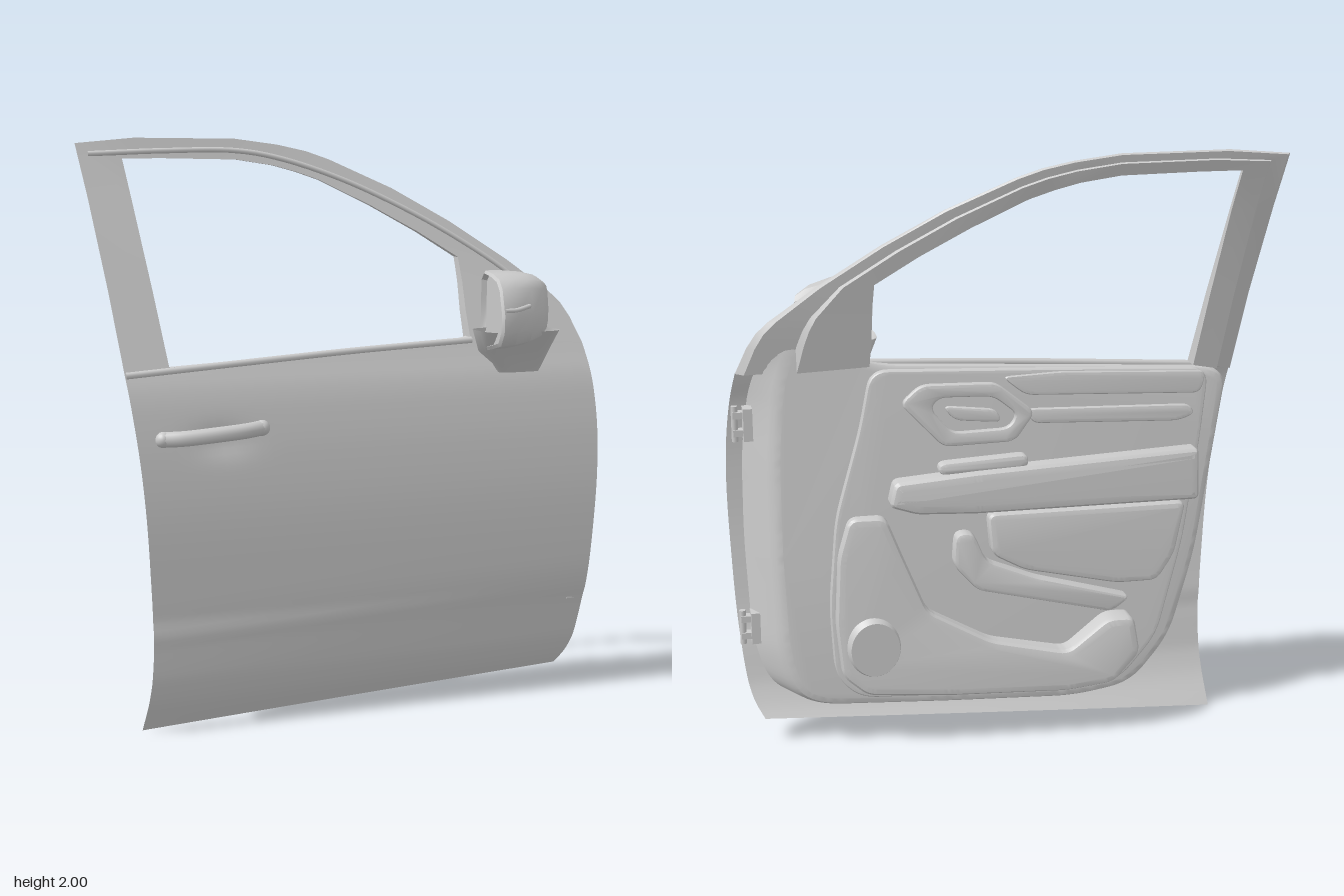
import * as THREE from 'three';
import { toCreasedNormals } from 'three/addons/utils/BufferGeometryUtils.js';

const material = new THREE.MeshStandardMaterial({ color: 0xcccccc, side: THREE.DoubleSide });
const lerp = THREE.MathUtils.lerp;

// Smooth interpolation through [position, value] pairs
function smooth(table, p) {
  const n = table.length;
  if (p <= table[0][0]) return table[0][1];
  if (p >= table[n - 1][0]) return table[n - 1][1];
  const i = table.findIndex((q) => q[0] > p) - 1;
  const slope = (k) => {
    const a = table[Math.max(k - 1, 0)], b = table[Math.min(k + 1, n - 1)];
    return (b[1] - a[1]) / (b[0] - a[0]);
  };
  const [x0, y0] = table[i], [x1, y1] = table[i + 1], h = x1 - x0, t = (p - x0) / h;
  return y0 * (1 + 2 * t) * (1 - t) ** 2 + y1 * t * t * (3 - 2 * t)
    + h * t * (1 - t) * (slope(i) * (1 - t) - slope(i + 1) * t);
}

// Outer surface depth: curved vertically with a rising lower crease, swept back towards the rear, dented behind the handle
const PROFILE = [[0, -0.19], [0.1, -0.115], [0.18, -0.073], [0.22, -0.06], [0.33, -0.031], [0.37, -0.019],
  [0.5, -0.002], [0.75, 0.018], [0.95, 0.018], [1.1, 0.006], [1.18, -0.008], [1.25, -0.03], [1.57, -0.125], [2, -0.262]];
const LEFT = [[0, -0.75], [0.3, -0.735], [0.6, -0.75], [0.9, -0.775], [1.22, -0.813], [1.4, -0.83]];
const RIGHT = [[0.085, 0.81], [0.14, 0.84], [0.22, 0.86], [0.4, 0.878], [0.6, 0.888], [0.9, 0.895],
  [1.1, 0.885], [1.28, 0.857], [1.37, 0.82]];
const skin = (x, y) => smooth(PROFILE, y - 0.03 * x * Math.exp(-(((y - 0.35) / 0.13) ** 2)))
  + 0.047 * Math.min(1, y / 0.4) * (x - 0.89)
  - 0.013 * Math.exp(-(((x + 0.5) / 0.09) ** 2) - ((y - 1.0) / 0.05) ** 2);
// Sloped planes of the inner shell and the trim
const shellZ = (x, y) => -0.12 + 0.03 * (x - 0.8) + 0.08 * (y - 1.2);
const trimZ = (d) => (x, y) => shellZ(x, y) - 0.025 - d;
const lowerZ = (x, y) => trimZ(0.06)(x, y) + 0.05 * x;

function mesh(name, geometry) {
  const m = new THREE.Mesh(geometry, material);
  m.name = name;
  return m;
}

// Surface through rows of [x, y, z] points
function loft(name, rows, crease = 0.6) {
  const w = rows[0].length, index = [];
  for (let i = 0; i < rows.length - 1; i++)
    for (let j = 0; j < w - 1; j++) {
      const a = i * w + j, b = a + w;
      index.push(a, a + 1, b, b, a + 1, b + 1);
    }
  const g = new THREE.BufferGeometry();
  g.setAttribute('position', new THREE.Float32BufferAttribute(rows.flat(2), 3));
  g.setIndex(index);
  return mesh(name, toCreasedNormals(g, crease));
}

// Polygon with rounded corners
function rounded(path, pts, radius) {
  const v = pts.map((p) => new THREE.Vector2(...p)), n = v.length;
  const towards = (a, b) => a.clone().lerp(b, Math.min(0.45, radius / a.distanceTo(b)));
  v.forEach((p, i) => {
    const a = towards(p, v[(i + n - 1) % n]), b = towards(p, v[(i + 1) % n]);
    if (i === 0) path.moveTo(a.x, a.y);
    else path.lineTo(a.x, a.y);
    path.quadraticCurveTo(p.x, p.y, b.x, b.y);
  });
  path.closePath();
  return path;
}

// Outline filled between a back and a front surface, bevelled at the back; flare widens its +x end towards the front
function pad(name, outline, back, front, { bevel = 0.012, hole = null, radius = 0.03, flare = 0 } = {}) {
  const shape = rounded(new THREE.Shape(), outline, radius);
  if (hole) shape.holes.push(rounded(new THREE.Path(), hole, radius));
  const g = new THREE.ExtrudeGeometry(shape, { curveSegments: 6, depth: 0.8, bevelEnabled: true, bevelSize: bevel,
    bevelOffset: -bevel, bevelThickness: 0.2, bevelSegments: 2 });
  const p = g.attributes.position;
  for (let i = 0; i < p.count; i++) {
    const y = p.getY(i), t = Math.min(1, p.getZ(i) + 0.2);
    const x = p.getX(i) + flare * t * Math.max(0, p.getX(i) - 0.4);
    p.setXYZ(i, x, y, lerp(back(x, y), front(x, y), t));
  }
  return mesh(name, toCreasedNormals(g, 0.5));
}

function tube(name, pts, radius) {
  const c = new THREE.CatmullRomCurve3(pts.map((p) => new THREE.Vector3(...p)));
  return mesh(name, new THREE.TubeGeometry(c, 60, radius, 8));
}
const onSkin = ([x, y]) => [x, y, skin(x, y) - 0.003];

function buildBody() {
  const rows = [];
  for (let i = 0; i <= 60; i++) {
    const row = [];
    for (let j = 0; j <= 40; j++) {
      const u = j / 40;
      const top = u < 0.74 ? lerp(1.225, 1.305, u / 0.74) : lerp(1.305, 1.28, (u - 0.74) / 0.26);
      const y = lerp(0.085 * u, top, i / 60);
      const x = lerp(smooth(LEFT, y), smooth(RIGHT, y), u);
      row.push([x, y, skin(x, y)]);
    }
    rows.push(row);
  }
  return loft('outerPanel', rows);
}

// Window frame: section between outer edge and opening, with a raised inner return
function buildFrame() {
  const pairs = [[-0.812, 1.22, -0.66, 1.25], [-0.84, 1.5, -0.69, 1.5], [-0.875, 1.8, -0.728, 1.8],
    [-0.9, 1.98, -0.745, 1.93], [-0.7, 1.998, -0.6, 1.93], [-0.35, 1.995, -0.35, 1.925], [-0.2, 1.975, -0.22, 1.905],
    [-0.1, 1.953, -0.14, 1.883], [-0.02, 1.925, -0.06, 1.855], [0.2, 1.825, 0.12, 1.765], [0.4, 1.71, 0.28, 1.675],
    [0.6, 1.575, 0.42, 1.585], [0.75, 1.46, 0.425, 1.5], [0.79, 1.42, 0.425, 1.45], [0.82, 1.37, 0.425, 1.4],
    [0.857, 1.28, 0.43, 1.3]];
  const section = [[0, 0, 0], [1, -0.008, 0], [1, 0, 1], [0.45, 0, 1], [0.4, 0, 0.6], [0.06, 0, 0.5], [0, -0.004, 0],
    [0, 0, 0]];
  return loft('windowFrame', pairs.map(([ox, oy, ix, iy]) => section.map(([t, d, back]) => {
    const x = lerp(ox, ix, t), y = lerp(oy, iy, t);
    const depth = lerp(0.07, 0.024, THREE.MathUtils.clamp((y - 1.22) / 0.6, 0, 1));
    return [x, y, skin(x, y) + d - back * depth];
  })), 0.5);
}

function buildMirror() {
  const g = new THREE.Group();
  g.name = 'sideMirror';
  const face = [[0, 1.525], [0.04, 1.55], [0.16, 1.545], [0.25, 1.533], [0.3, 1.505], [0.345, 1.42], [0.338, 1.36],
    [0.29, 1.315], [0.15, 1.29], [0.02, 1.27], [-0.012, 1.32], [-0.008, 1.45], [0, 1.525]];
  // Ring of the housing: scaled about an anchor, moved from the glass towards the nose
  const ring = (s, zs, ys, ax, inset = 0) => face.map(([z0, y0]) => {
    const z = ax + (z0 - ax) * zs, y = 1.43 + (y0 - 1.43) * ys;
    return [lerp(0.43 - 0.27 * z, 0.655 - 0.3 * z, s) + inset, y, z];
  });
  g.add(loft('mirrorHousing', [ring(0, 0, 0, 0.16, 0.02), ring(0, 0.88, 0.88, 0.16, 0.02), ring(0, 0.92, 0.92, 0.16),
    ring(0, 1, 1, 0.03, 0.008), ring(0.3, 0.94, 0.99, 0.03), ring(0.6, 0.8, 0.94, 0.03), ring(0.85, 0.62, 0.84, 0.03),
    ring(1, 0.42, 0.66, 0.03), ring(1, 0, 0, 0.06)], 0.7));
  const foot = [[0.59, 1.188, -0.02, 0.075, 0.025], [0.58, 1.22, -0.005, 0.09, 0.04],
    [0.54, 1.27, 0.04, 0.125, 0.055], [0.51, 1.35, 0.11, 0.14, 0.1]];
  g.add(loft('mirrorArm', foot.map(([cx, cy, cz, rx, rz]) => Array.from({ length: 25 }, (_, i) => {
    const a = -i / 24 * Math.PI * 2, c = Math.cos(a), s = Math.sin(a);
    return [cx + rx * Math.sign(c) * Math.sqrt(Math.abs(c)), cy, cz + rz * Math.sign(s) * Math.sqrt(Math.abs(s))];
  }))));
  g.add(tube('mirrorIndicator', [[0.35, 1.435, 0.333], [0.4, 1.435, 0.318], [0.465, 1.445, 0.288]], 0.008));
  return g;
}

function buildHinge(y) {
  const g = new THREE.Group();
  g.name = 'hinge';
  const plate = mesh('hingePlate', new THREE.BoxGeometry(0.03, 0.11, 0.05));
  plate.position.set(0.825, y, -0.06);
  g.add(plate);
  for (const dy of [-0.03, 0.03]) {
    const lug = mesh('hingeLug', new THREE.BoxGeometry(0.045, 0.022, 0.03));
    lug.position.set(0.85, y + dy, -0.055);
    g.add(lug);
  }
  const pin = mesh('hingePin', new THREE.CylinderGeometry(0.011, 0.011, 0.12, 12));
  pin.position.set(0.866, y, -0.055);
  g.add(pin);
  return g;
}

function buildTrim() {
  const g = new THREE.Group();
  g.name = 'innerTrim';
  const base = trimZ(-0.02);
  const add = (name, pts, d, options) => g.add(pad(name, pts, trimZ(d), base, options));
  g.add(pad('trimPanel', [[0.43, 1.29], [0.47, 1.1], [0.56, 0.8], [0.59, 0.5], [0.58, 0.26], [0.5, 0.18], [0.2, 0.165],
    [-0.2, 0.145], [-0.4, 0.17], [-0.53, 0.32], [-0.62, 0.65], [-0.68, 1.0], [-0.71, 1.24], [-0.2, 1.265]],
  trimZ(0), shellZ, { radius: 0.06 }));
  add('beltRail', [[0.0, 1.25], [-0.08, 1.185], [-0.68, 1.16], [-0.7, 1.235], [-0.2, 1.258]], 0.008);
  add('accentStrip', [[-0.08, 1.14], [-0.1, 1.09], [-0.6, 1.07], [-0.66, 1.09], [-0.64, 1.125]], 0.012);
  add('armrest', [[0.39, 0.85], [0.37, 0.93], [0.1, 0.95], [-0.66, 0.985], [-0.66, 0.81], [0.1, 0.81], [0.3, 0.82]],
    0.065, { bevel: 0.03, radius: 0.02 });
  // Speaker and map pocket surround
  g.add(pad('lowerPanel', [[0.56, 0.68], [0.52, 0.81], [0.4, 0.81], [0.35, 0.68], [0.27, 0.48], [0.06, 0.365],
    [-0.2, 0.31], [-0.34, 0.42], [-0.43, 0.42], [-0.45, 0.29], [-0.36, 0.19], [-0.2, 0.17], [0.2, 0.18], [0.48, 0.2],
    [0.56, 0.27], [0.575, 0.45]], lowerZ, base, { bevel: 0.025 }));
  add('pocketPanel', [[0.06, 0.8], [0.05, 0.66], [-0.06, 0.6], [-0.38, 0.53], [-0.52, 0.53], [-0.58, 0.62],
    [-0.62, 0.8]], 0.045, { bevel: 0.02 });
  add('pocketLip', [[0.17, 0.74], [0.18, 0.63], [0.1, 0.54], [-0.36, 0.43], [-0.43, 0.48], [-0.1, 0.57], [0.07, 0.64],
    [0.11, 0.74]], 0.045);
  add('releaseBezel', [[0.34, 1.18], [0.27, 1.24], [0.02, 1.235], [-0.11, 1.13], [-0.04, 1.035], [0.2, 1.03]], 0.02,
    { hole: [[0.24, 1.16], [0.21, 1.195], [0.03, 1.19], [-0.05, 1.125], [-0.02, 1.08], [0.17, 1.075]] });
  add('releaseLever', [[0.2, 1.165], [0.16, 1.115], [0.0, 1.1], [0.02, 1.145]], 0.014, { bevel: 0.008 });
  add('windowSwitches', [[0.22, 0.98], [0.22, 0.94], [-0.08, 0.95], [-0.08, 0.995]], 0.04);
  // Speaker grille
  const grille = mesh('speakerGrille', new THREE.CylinderGeometry(0.082, 0.095, 0.024, 40));
  grille.rotation.x = -Math.PI / 2;
  grille.scale.z = 1.15;
  grille.position.set(0.45, 0.365, lowerZ(0.45, 0.365));
  g.add(grille);
  return g;
}

export function createModel() {
  const door = new THREE.Group();
  door.name = 'carDoor';
  door.add(buildBody(), buildFrame());
  // Inner shell behind the outer panel, its front wall sloping out to the panel edge
  door.add(pad('innerShell', [[0.68, 1.4], [0.735, 1.25], [0.757, 1.0], [0.76, 0.7], [0.75, 0.35], [0.71, 0.2],
    [0.62, 0.15], [0.2, 0.125], [-0.25, 0.105], [-0.45, 0.135], [-0.59, 0.3], [-0.68, 0.6], [-0.74, 0.95],
    [-0.785, 1.23], [-0.2, 1.265], [0.42, 1.3], [0.55, 1.37]], shellZ, (x, y) => skin(x, y) - 0.02,
  { bevel: 0.025, radius: 0.08, flare: 0.24 }));
  // Seals and mouldings
  door.add(tube('windowSeal', [[-0.86, 1.945], [-0.6, 1.955], [-0.35, 1.955], [-0.2, 1.93], [0, 1.865], [0.2, 1.775],
    [0.4, 1.665], [0.6, 1.53], [0.68, 1.45], [0.705, 1.37], [0.68, 1.31], [0.6, 1.28]].map(onSkin), 0.009));
  door.add(tube('beltMoulding', [[-0.81, 1.228], [-0.4, 1.255], [0, 1.28], [0.43, 1.3]].map(onSkin), 0.012));
  // Outside pull handle
  const lift = [[-0.7, 1.018, 0], [-0.64, 1.021, 0.022], [-0.52, 1.03, 0.033], [-0.42, 1.036, 0.022], [-0.36, 1.04, 0]];
  const path = lift.map(([x, y, d]) => [x, y, smooth(PROFILE, y) + 0.047 * (x - 0.89) + d]);
  const handle = new THREE.Group();
  handle.name = 'outsideHandle';
  handle.add(tube('handleGrip', path, 0.026));
  for (const end of [path[0], path[4]]) {
    const cap = mesh('handleEnd', new THREE.SphereGeometry(0.027, 20, 14));
    cap.position.set(...end);
    handle.add(cap);
  }
  door.add(handle, buildMirror(), buildTrim(), buildHinge(1.115), buildHinge(0.4));
  return door;
}
